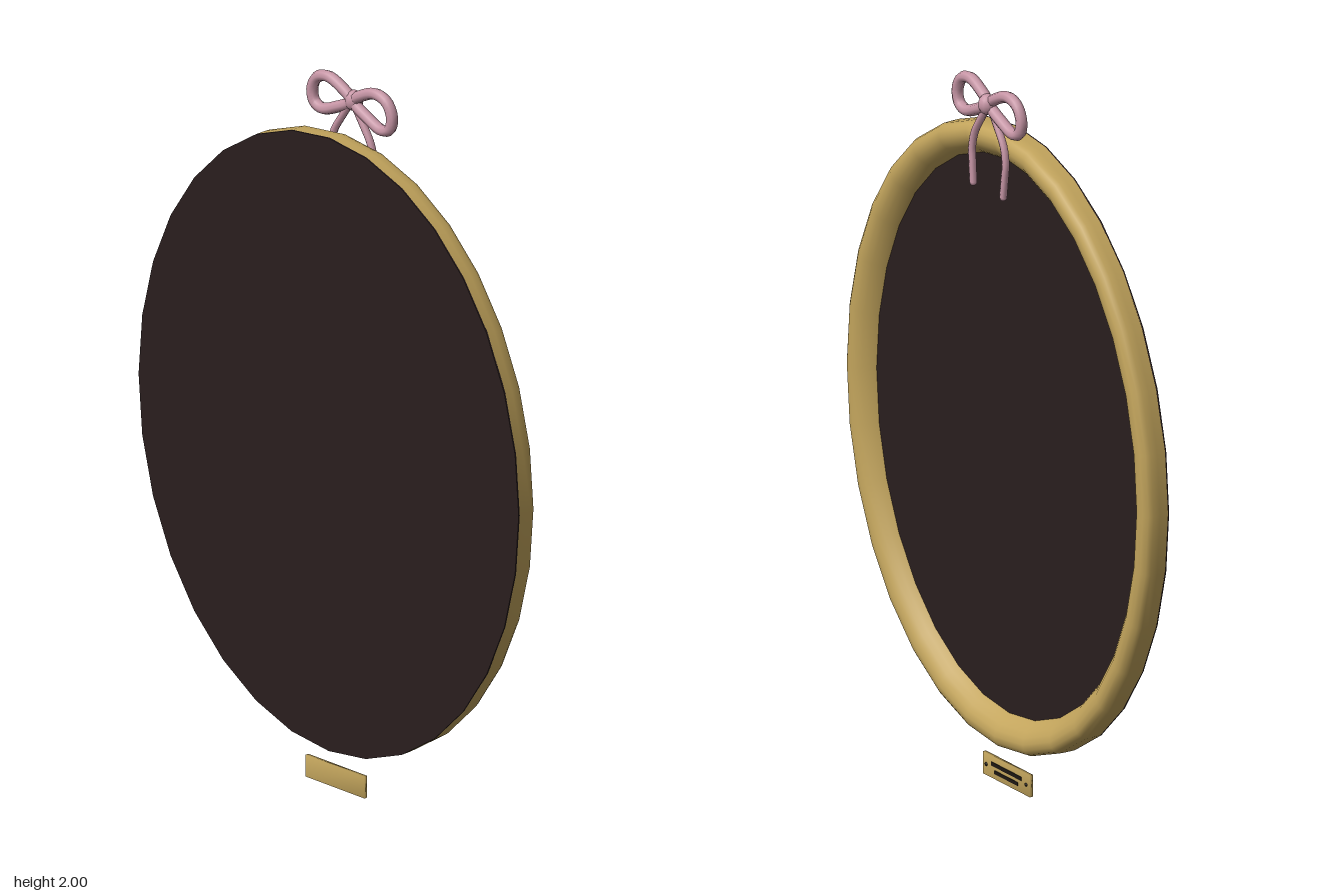
import * as THREE from 'three';
import { mergeVertices } from 'three/addons/utils/BufferGeometryUtils.js';

const RX = 0.711, RY = 0.874, CY = 0.985, SIDES = 32;

const material = (name, color) => {
  const m = new THREE.MeshStandardMaterial({ color });
  m.name = name;
  return m;
};

function add(parent, name, geometry, mat, x = 0, y = 0, z = 0) {
  const mesh = new THREE.Mesh(geometry, mat);
  mesh.name = name;
  mesh.position.set(x, y, z);
  parent.add(mesh);
  return mesh;
}

// Flat oval disc facing along z
function ovalDisc(rx, ry, depth) {
  return new THREE.CylinderGeometry(1, 1, depth, SIDES).rotateX(Math.PI / 2).scale(rx, ry, 1);
}

// Sweeps a profile of [inset, z] points around the oval at constant width
function ovalMoulding(profile) {
  const positions = [], index = [], n = profile.length;
  for (let i = 0; i < SIDES; i++) {
    const a = (i / SIDES) * Math.PI * 2;
    for (const [inset, z] of profile) {
      positions.push((RX - inset) * Math.cos(a), (RY - inset) * Math.sin(a), z);
    }
    for (let j = 0; j < n - 1; j++) {
      const p = i * n + j, q = ((i + 1) % SIDES) * n + j;
      index.push(p, p + 1, q, p + 1, q + 1, q);
    }
  }
  const g = new THREE.BufferGeometry();
  g.setAttribute('position', new THREE.Float32BufferAttribute(positions, 3));
  g.setIndex(index);
  g.computeVertexNormals();
  return g;
}

// Box with shared corner normals, for a softly shaded plate
function softBox(w, h, d) {
  const box = new THREE.BoxGeometry(w, h, d);
  box.deleteAttribute('normal');
  box.deleteAttribute('uv');
  const g = mergeVertices(box);
  g.computeVertexNormals();
  return g;
}

function ribbon(points, side, segments, radius, closed) {
  const curve = new THREE.CatmullRomCurve3(
    points.map(([x, y, z]) => new THREE.Vector3(x * side, y, z)), closed);
  return new THREE.TubeGeometry(curve, segments, radius, 8, closed);
}

export function createModel() {
  const gold = material('antique gold', 0xc2a45c);
  const dark = material('dark backing', 0x291e1e);
  const pink = material('dusty pink ribbon', 0xc796a6);
  const ink = material('engraving black', 0x1c1712);
  const model = new THREE.Group();
  model.name = 'ovalFrame';

  // Rounded moulding, its show side toward -z
  add(model, 'frameMoulding', ovalMoulding([
    [0, 0.055], [0, 0.03], [0.001, 0.01], [0.007, -0.003], [0.02, -0.012],
    [0.036, -0.014], [0.053, -0.009], [0.068, 0.002], [0.08, 0.015], [0.089, 0.028], [0.095, 0.04],
  ]), gold, 0, CY, 0);

  // Back board and recessed picture panel
  add(model, 'backBoard', ovalDisc(RX, RY, 0.005), dark, 0, CY, 0.0565);
  add(model, 'picturePanel', ovalDisc(RX - 0.08, RY - 0.08, 0.02), dark, 0, CY, 0.044);

  // Ribbon bow at the top
  const bow = new THREE.Group();
  bow.name = 'bow';
  model.add(bow);
  const loop = [
    [0.005, 1.94, -0.031], [0.045, 1.97, -0.03], [0.09, 1.985, -0.029], [0.13, 1.972, -0.029],
    [0.149, 1.935, -0.029], [0.141, 1.9, -0.029], [0.112, 1.888, -0.029], [0.06, 1.906, -0.03],
  ];
  const tail = [
    [0.005, 1.935, -0.03], [0.037, 1.888, -0.03], [0.068, 1.838, -0.03],
    [0.078, 1.795, -0.031], [0.075, 1.75, -0.032], [0.07, 1.698, -0.033],
  ];
  for (const side of [1, -1]) {
    const word = side > 0 ? 'left' : 'right';
    add(bow, word + 'Loop', ribbon(loop, side, 36, 0.016, true), pink);
    add(bow, word + 'Tail', ribbon(tail, side, 16, 0.0105, false), pink);
    const [x, y, z] = tail[tail.length - 1];
    add(bow, word + 'TailEnd', new THREE.SphereGeometry(0.0105, 8, 6), pink, x * side, y, z);
  }
  add(bow, 'knot', new THREE.SphereGeometry(0.025, 12, 10), pink, 0, 1.94, -0.036).scale.y = 1.15;

  // Small plaque below, with plain engraved lines and two pins
  const plaque = new THREE.Group();
  plaque.name = 'plaque';
  model.add(plaque);
  add(plaque, 'plate', softBox(0.22, 0.062, 0.01), gold, 0, 0.031, 0.03);
  add(plaque, 'upperLine', new THREE.BoxGeometry(0.14, 0.011, 0.002), ink, 0, 0.04, 0.0245);
  add(plaque, 'lowerLine', new THREE.BoxGeometry(0.11, 0.01, 0.002), ink, 0, 0.02, 0.0245);
  for (const side of [1, -1]) {
    add(plaque, side > 0 ? 'leftPin' : 'rightPin',
      new THREE.SphereGeometry(0.005, 8, 6), ink, side * 0.093, 0.031, 0.025);
  }
  return model;
}
